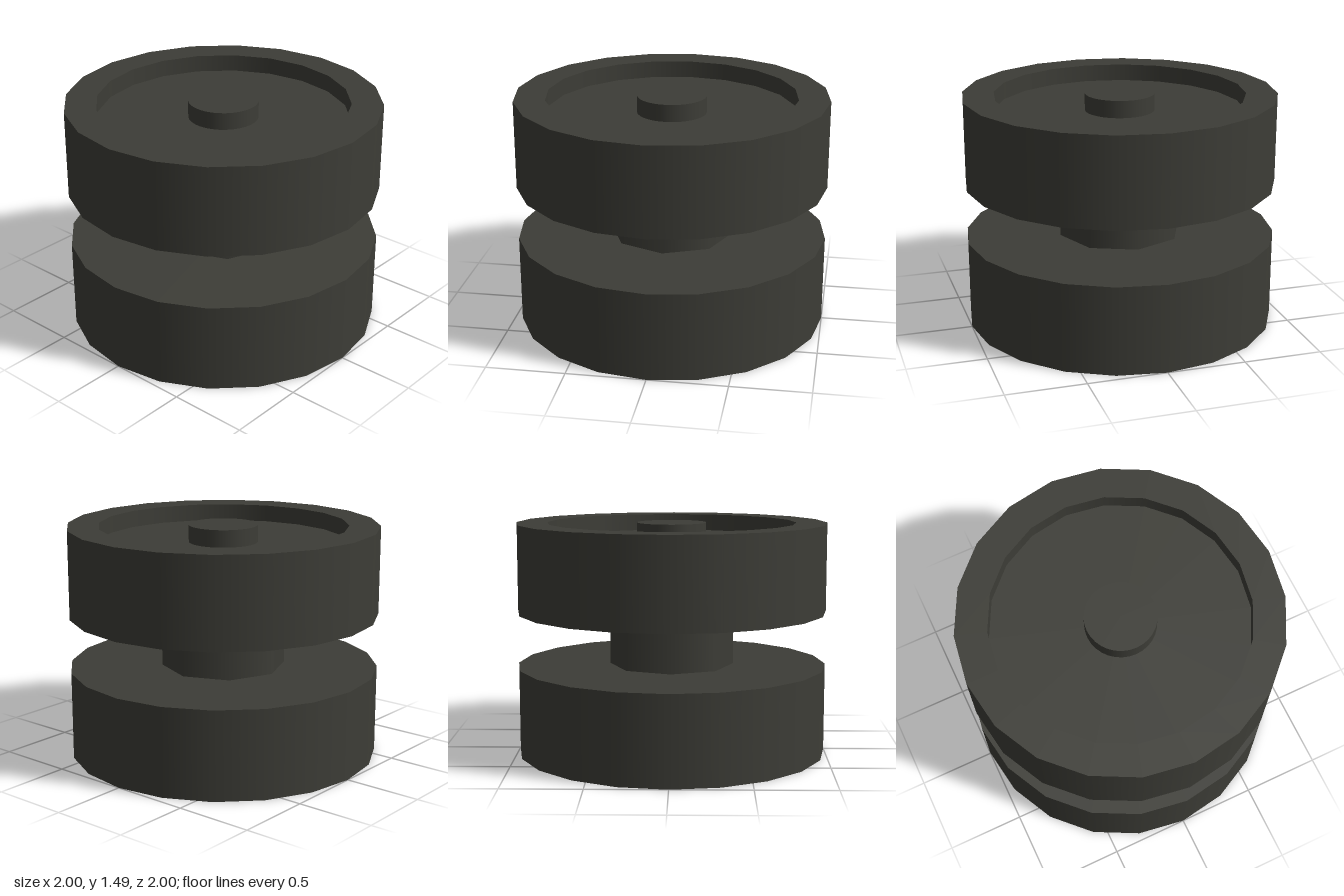
import * as THREE from 'three';
import { mergeGeometries } from 'three/addons/utils/BufferGeometryUtils.js';

// Turned solid: smooth around the axis, sharp edges along the profile.
function turned(profile, sides) {
  const bands = [];
  for (let i = 0; i < profile.length - 1; i++) {
    const ends = [profile[i], profile[i + 1]].map(([r, y]) => new THREE.Vector2(r, y));
    bands.push(new THREE.LatheGeometry(ends, sides));
  }
  return mergeGeometries(bands);
}

export function createModel() {
  const group = new THREE.Group();
  const rubber = new THREE.MeshStandardMaterial({ color: 0x3d3d37 });
  rubber.name = 'darkGrey';

  const add = (name, geometry, y = 0) => {
    const mesh = new THREE.Mesh(geometry, rubber);
    mesh.name = name;
    mesh.position.y = y;
    group.add(mesh);
  };

  const R = 1, INNER = 0.8, H = 0.57, GAP = 0.35, DEPTH = 0.11, HUB = 0.4;
  const top = 2 * H + GAP;

  // Lower wheel: recessed underside rising to a shallow conical boss
  add('lowerWheel', turned([
    [0, 0], [HUB, 0], [INNER, DEPTH], [INNER, 0], [R, 0], [R, H], [0, H],
  ], 20));

  // Upper wheel: flat underside, recessed top face
  add('upperWheel', turned([
    [0, 0], [R, 0], [R, H], [INNER, H], [INNER, H - DEPTH], [0, H - DEPTH],
  ], 20), H + GAP);

  // Axle between the wheels
  add('axle', new THREE.CylinderGeometry(HUB, HUB, GAP, 8, 1, true), H + GAP / 2);

  // Pin in the top recess, flush with the rim
  add('topPin', new THREE.CylinderGeometry(0.222, 0.222, DEPTH, 32), top - DEPTH / 2);

  return group;
}
